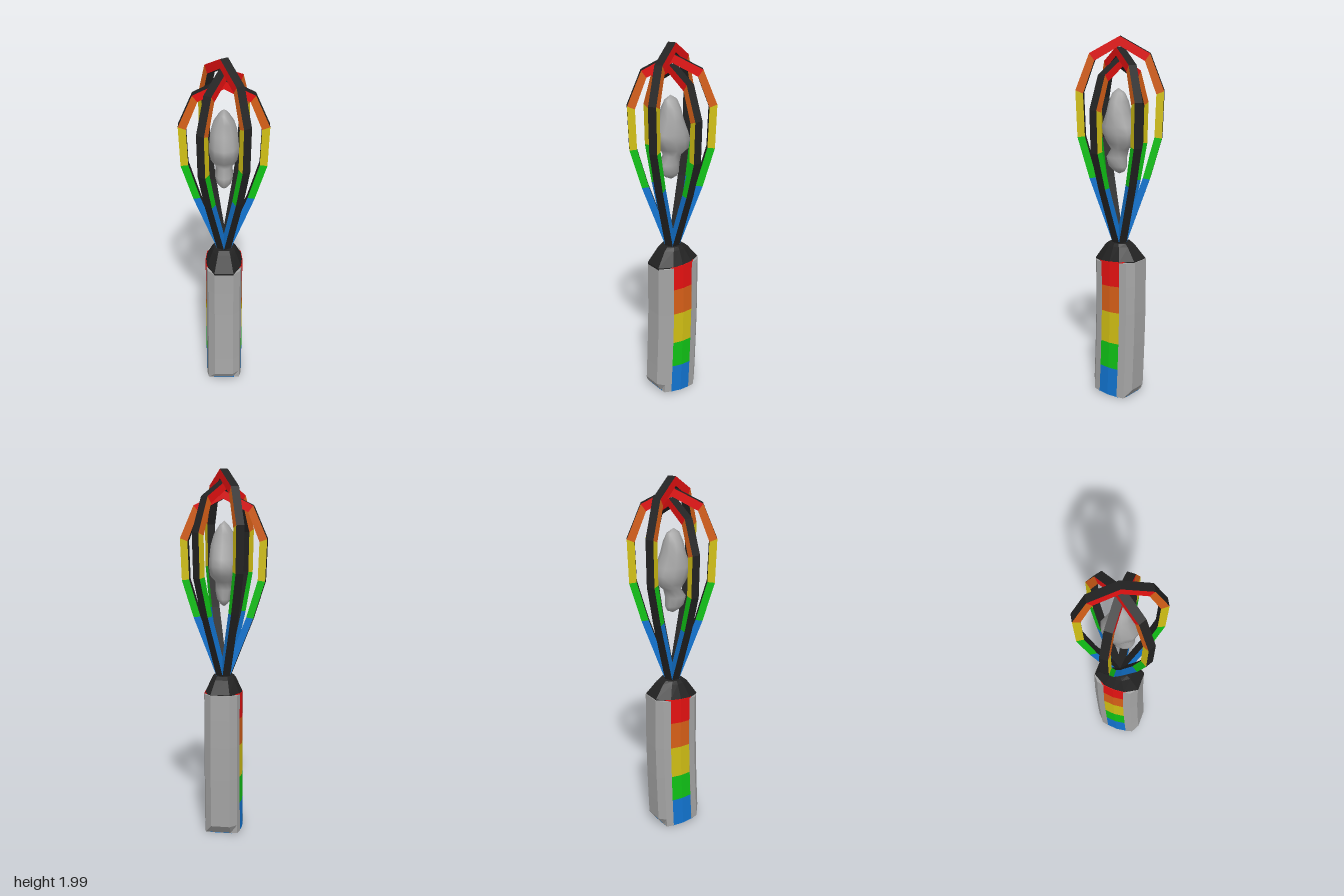
import * as THREE from 'three';
import { mergeVertices } from 'three/addons/utils/BufferGeometryUtils.js';

const mat = (name, color) => {
  const m = new THREE.MeshStandardMaterial({ color });
  m.name = name;
  return m;
};

// collects flat quads, turned to face away from a reference point
class Faces {
  constructor() { this.pos = []; }
  poly(pts, ref) {
    const n = new THREE.Vector3(), mid = new THREE.Vector3();
    pts.forEach((p, i) => {
      mid.addScaledVector(p, 1 / pts.length);
      n.add(p.clone().cross(pts[(i + 1) % pts.length]));
    });
    const list = n.dot(mid.clone().sub(ref)) < 0 ? [...pts].reverse() : pts;
    for (let i = 1; i < list.length - 1; i++) {
      for (const p of [list[0], list[i], list[i + 1]]) this.pos.push(p.x, p.y, p.z);
    }
  }
  mesh(name, material) {
    const g = new THREE.BufferGeometry();
    g.setAttribute('position', new THREE.Float32BufferAttribute(this.pos, 3));
    g.computeVertexNormals();
    const m = new THREE.Mesh(g, material);
    m.name = name;
    return m;
  }
}

const centre = (pts) => pts.reduce((s, p) => s.add(p), new THREE.Vector3()).divideScalar(pts.length);

// joins rings of points into a skin, with optional end faces
function loft(name, rings, material, capStart, capEnd) {
  const f = new Faces();
  for (let r = 0; r < rings.length - 1; r++) {
    const a = rings[r], b = rings[r + 1], ref = centre([...a, ...b]);
    a.forEach((p, i) => {
      const j = (i + 1) % a.length;
      f.poly([p, a[j], b[j], b[i]], ref);
    });
  }
  const all = centre(rings.flat());
  if (capStart) f.poly(rings[0], all);
  if (capEnd) f.poly(rings[rings.length - 1], all);
  return f.mesh(name, material);
}

export function createModel() {
  const model = new THREE.Group();
  model.name = 'whisk';
  const black = mat('black', 0x222222);
  const grey = mat('grey', 0xa6a6a6);
  const bands = [
    mat('blue', 0x1275d2), mat('green', 0x10c416), mat('yellow', 0xd2c014),
    mat('orange', 0xd86018), mat('red', 0xec1212),
  ];

  // wire loops: black inside and outside, coloured bands on both sides
  const outer = [[0.03, 0.87], [0.163, 1.21], [0.226, 1.41], [0.235, 1.635], [0.16, 1.81], [0, 1.89]];
  const inner = [[0, 0.89], [0.125, 1.215], [0.186, 1.415], [0.194, 1.62], [0.133, 1.775], [0, 1.845]];
  const baseY = 0.89, half = 0.0225;
  const wireLoop = (name, angle, stretch) => {
    const group = new THREE.Group();
    group.name = name;
    const edges = new Faces();
    const sides = bands.map(() => new Faces());
    for (const s of [-1, 1]) {
      const pt = ([x, y], z) => new THREE.Vector3(s * x, baseY + (y - baseY) * stretch, z);
      for (let k = 0; k < 5; k++) {
        const quad = (z) => [pt(outer[k], z), pt(outer[k + 1], z), pt(inner[k + 1], z), pt(inner[k], z)];
        const a = quad(-half), b = quad(half), ref = centre([...a, ...b]);
        edges.poly([a[0], a[1], b[1], b[0]], ref);
        edges.poly([a[3], a[2], b[2], b[3]], ref);
        sides[k].poly(a, ref);
        sides[k].poly(b, ref);
      }
    }
    group.add(edges.mesh(name + 'Edges', black));
    sides.forEach((f, k) => group.add(f.mesh(name + 'Side' + k, bands[k])));
    group.rotation.y = angle;
    model.add(group);
  };
  wireLoop('lowLoop', 0, 1);
  wireLoop('middleLoop', Math.PI / 3, 1.055);
  wireLoop('tallLoop', -Math.PI / 3, 1.11);

  // handle leans gently forward towards the bottom, with tilted ends
  const bend = (y) => {
    const t = Math.max(0, (0.55 - y) / 0.55);
    return -0.006 + 0.02 * Math.pow(t, 1.4);
  };
  const bent = (x, y, z) => {
    const tilt = 0.07 * (1 - 2 * y / 0.8);
    return new THREE.Vector3(x, y + z * tilt, z + bend(y));
  };

  // handle core, one coloured section per band
  const levels = [0.016, 0.18, 0.33, 0.51, 0.66, 0.8];
  const coreShape = [[0.103, 0], [0.095, 0.067], [0.06, 0.1], [-0.06, 0.1], [-0.095, 0.067],
    [-0.103, 0], [-0.095, -0.067], [-0.06, -0.1], [0.06, -0.1], [0.095, -0.067]];
  bands.forEach((m, k) => {
    const rings = [levels[k], levels[k + 1]].map((y) => coreShape.map(([x, z]) => bent(x, y, z)));
    model.add(loft('handleBand' + k, rings, m, k === 0, k === 4));
  });

  // front and back grips, chamfered at the bottom
  const gripShape = [[0.098, 0.06], [0.088, 0.1], [0.052, 0.132], [-0.052, 0.132], [-0.088, 0.1], [-0.098, 0.06]];
  for (const s of [1, -1]) {
    const rings = [0.018, 0.065, 0.18, 0.33, 0.51, 0.66, 0.795].map((y, i) =>
      gripShape.map(([x, z]) => bent(x, y, s * (i === 0 ? Math.min(z, 0.1) : z))));
    model.add(loft(s > 0 ? 'frontGrip' : 'backGrip', rings, grey, true, true));
  }

  // tapered collar between handle and wires
  const collarShape = [[0.1, 0], [0.094, 0.06], [0.052, 0.13], [-0.052, 0.13], [-0.094, 0.06],
    [-0.1, 0], [-0.094, -0.06], [-0.052, -0.13], [0.052, -0.13], [0.094, -0.06]];
  const collar = [[0.79, 1, 1], [0.8, 1, 1], [0.875, 0.66, 0.58], [0.892, 0.56, 0.42]].map(([y, sx, sz], i) =>
    collarShape.map(([x, z]) => new THREE.Vector3(x * sx, y - (i < 2 ? 0.06 * z : 0), z * sz - 0.003)));
  model.add(loft('collar', collar, black, true, true));

  // floating lump inside the wires: height, half width, front z, back z
  const rows = [
    [1.73, 0, 0.01, 0.01], [1.705, 0.026, 0.045, -0.03], [1.66, 0.055, 0.06, -0.045],
    [1.6, 0.073, 0.072, -0.058], [1.53, 0.08, 0.104, -0.09], [1.49, 0.08, 0.1, -0.104],
    [1.44, 0.072, 0.07, -0.095], [1.405, 0.045, 0.05, -0.05], [1.36, 0.05, 0.08, -0.038],
    [1.31, 0.038, 0.07, -0.042], [1.285, 0.02, 0.04, -0.03], [1.27, 0, 0.005, 0.005],
  ];
  const around = 10;
  const lump = new THREE.SphereGeometry(1, around, rows.length - 1);
  const p = lump.attributes.position;
  for (let i = 0; i < p.count; i++) {
    const [y, w, front, back] = rows[Math.floor(i / (around + 1))];
    const a = ((i % (around + 1)) % around) / around * Math.PI * 2 + Math.PI / 2;
    p.setXYZ(i, -Math.cos(a) * w, y, (front + back) / 2 + Math.sin(a) * (front - back) / 2);
  }
  lump.deleteAttribute('uv');
  lump.deleteAttribute('normal');
  const smooth = mergeVertices(lump, 1e-4);
  smooth.computeVertexNormals();
  const lumpMesh = new THREE.Mesh(smooth, grey);
  lumpMesh.name = 'floatingLump';
  model.add(lumpMesh);

  return model;
}
